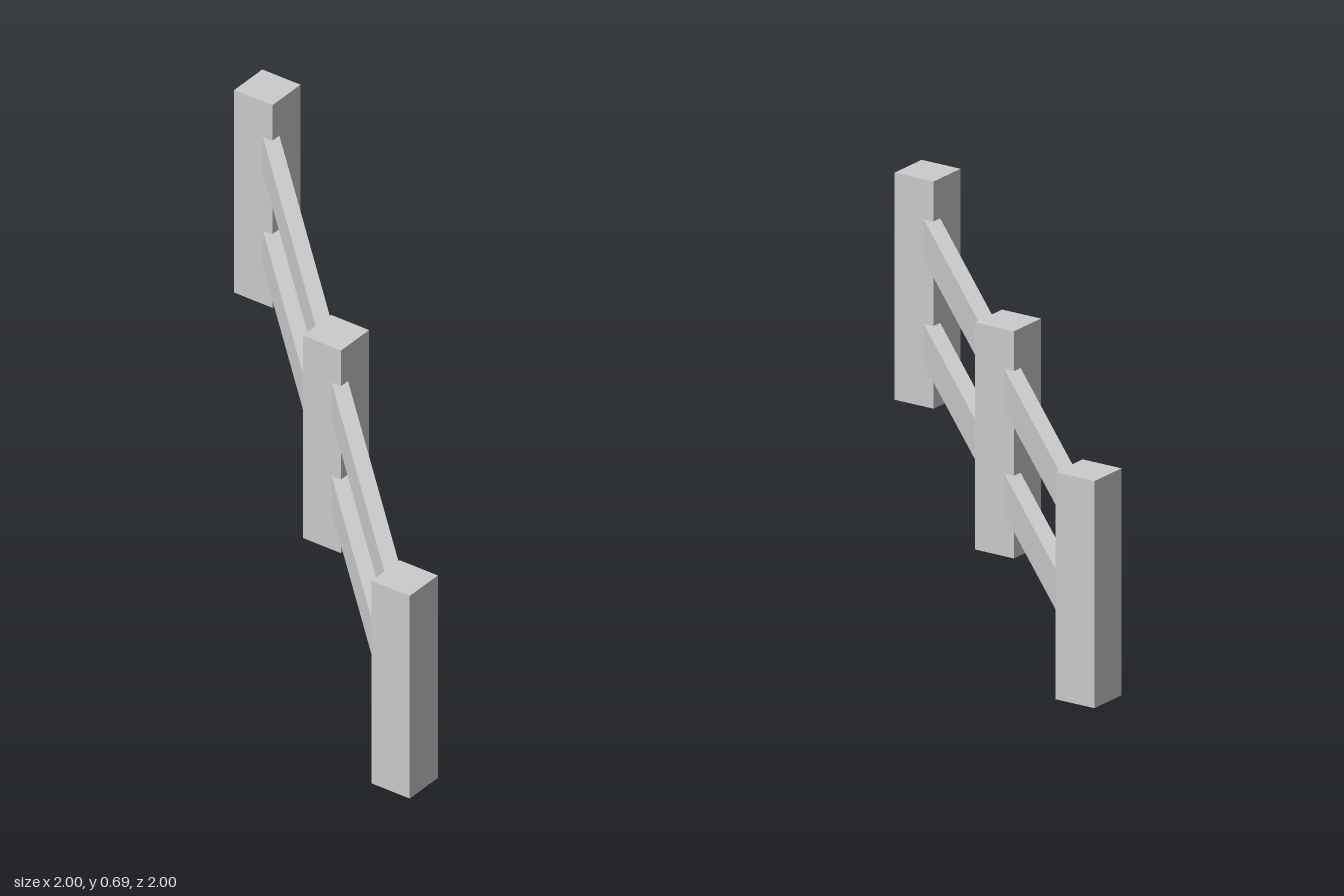
import * as THREE from 'three';

export function createModel() {
  const group = new THREE.Group();
  group.name = 'fence';
  const material = new THREE.MeshStandardMaterial({ color: 0xcccccc, flatShading: true });

  const postWidth = 0.136, postHeight = 0.69;
  const spacing = 1 - postWidth / 2; // post step along both x and z
  const railHeight = 0.122, railThickness = 0.048;

  function addBox(name, size, position, turn = 0) {
    const mesh = new THREE.Mesh(new THREE.BoxGeometry(...size), material);
    mesh.name = name;
    mesh.position.set(...position);
    mesh.rotation.y = turn;
    group.add(mesh);
  }

  // Three square posts, set along the diagonal but kept square to the axes
  ['rightPost', 'middlePost', 'leftPost'].forEach((name, i) => {
    const d = (i - 1) * spacing;
    addBox(name, [postWidth, postHeight, postWidth], [d, postHeight / 2, d]);
  });

  // Two rails in each bay, with their ends buried inside the posts
  const railLength = spacing * Math.SQRT2 - 0.06;
  for (const [side, sign] of [['right', -1], ['left', 1]]) {
    for (const [level, y] of [['Lower', 0.19], ['Upper', 0.508]]) {
      const d = sign * spacing / 2;
      addBox(side + level + 'Rail', [railLength, railHeight, railThickness], [d, y, d], -Math.PI / 4);
    }
  }
  return group;
}
